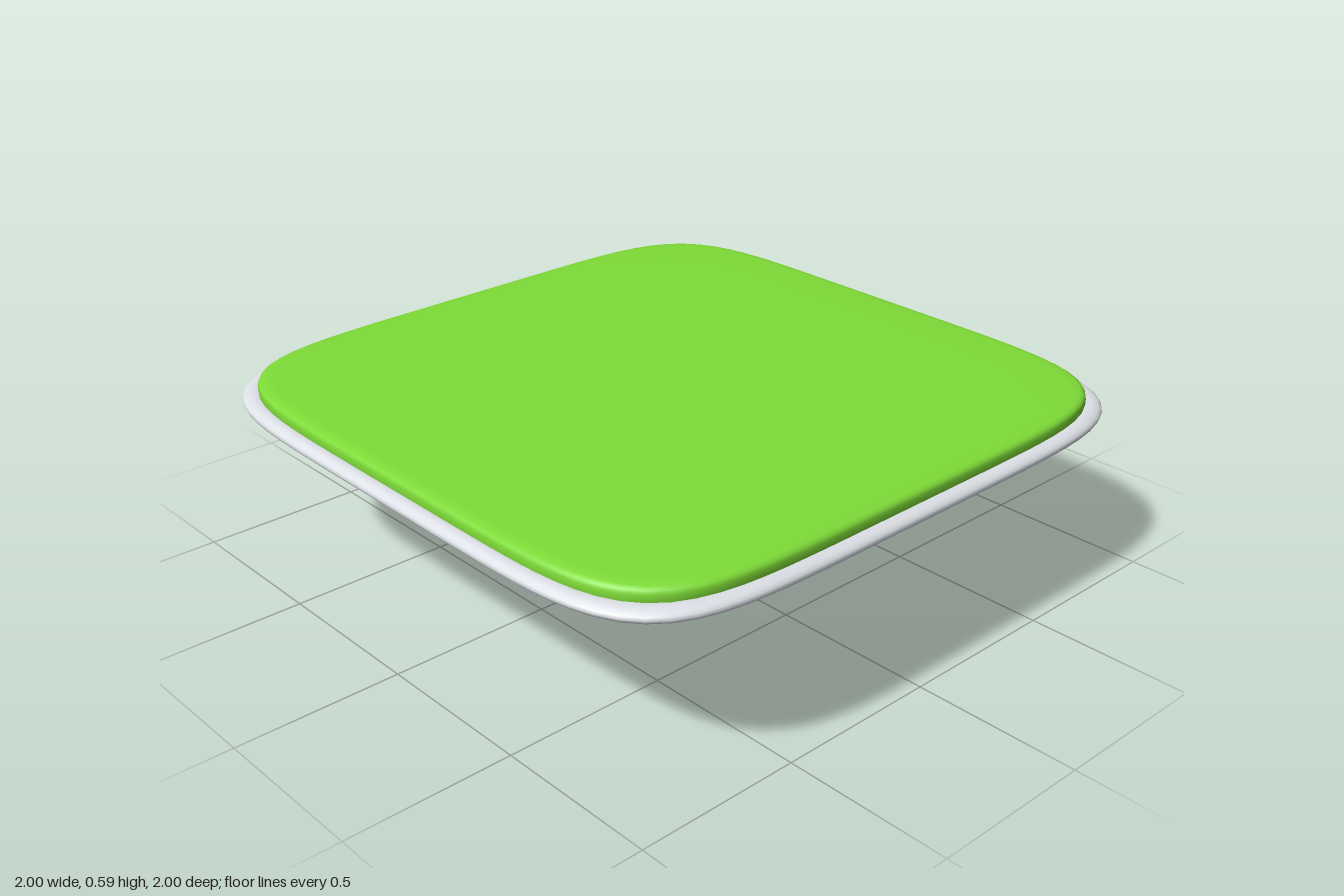
import * as THREE from 'three';

const SEGMENTS = 128;

// Lofts rounded-square rings [half width, height] from the bottom up;
// the exponent sets how square the outline is.
function loft(rings, exponent) {
  const positions = [], indices = [];
  for (const [r, y] of rings) {
    for (let j = 0; j < SEGMENTS; j++) {
      const a = (j / SEGMENTS) * Math.PI * 2;
      const c = Math.cos(a), s = Math.sin(a);
      const k = r * (Math.abs(c) ** exponent + Math.abs(s) ** exponent) ** (-1 / exponent);
      positions.push(c * k, y, s * k);
    }
  }
  for (let i = 0; i < rings.length - 1; i++) {
    for (let j = 0; j < SEGMENTS; j++) {
      const n = (j + 1) % SEGMENTS;
      const a = i * SEGMENTS + j, b = i * SEGMENTS + n;
      const c = a + SEGMENTS, d = b + SEGMENTS;
      indices.push(a, c, b, b, c, d);
    }
  }
  const geometry = new THREE.BufferGeometry();
  geometry.setAttribute('position', new THREE.Float32BufferAttribute(positions, 3));
  geometry.setIndex(indices);
  geometry.computeVertexNormals();
  return geometry;
}

function material(name, color) {
  const m = new THREE.MeshStandardMaterial({ color });
  m.name = name;
  return m;
}

export function createModel() {
  const group = new THREE.Group();
  group.name = 'squareDish';
  const add = (name, rings, exponent, mat) => {
    const mesh = new THREE.Mesh(loft(rings, exponent), mat);
    mesh.name = name;
    group.add(mesh);
  };

  // Pointed base, a little rounder than the bowl
  add('base', [[0, 0.004], [0.06, 0.012], [0.12, 0.026], [0.32, 0.117], [0.53, 0.211]],
    4.8, material('navy', 0x1766a8));

  // Flaring bowl wall, open at the bottom where the base sits
  add('bowl', [[0.53, 0.21], [0.72, 0.32], [0.86, 0.43], [0.95, 0.52]],
    5.9, material('teal', 0x30a2cf));

  // Rounded rim, a tube that follows the outline
  const rim = [];
  for (let i = 0; i <= 16; i++) {
    const a = Math.PI + (i / 16) * Math.PI * 2;
    rim.push([0.968 + 0.032 * Math.cos(a), 0.531 + 0.02 * Math.sin(a)]);
  }
  add('rim', rim, 5.9, material('silver', 0xe6eaf0));

  // Lid with a softly rounded edge; the doubled ring keeps the lower edge sharp
  add('lid', [
    [0, 0.53], [0.955, 0.53], [0.955, 0.53], [0.96, 0.55], [0.96, 0.57],
    [0.956, 0.58], [0.946, 0.586], [0.92, 0.589], [0.8, 0.591], [0, 0.591],
  ], 5.9, material('green', 0x7fdc38));

  return group;
}
